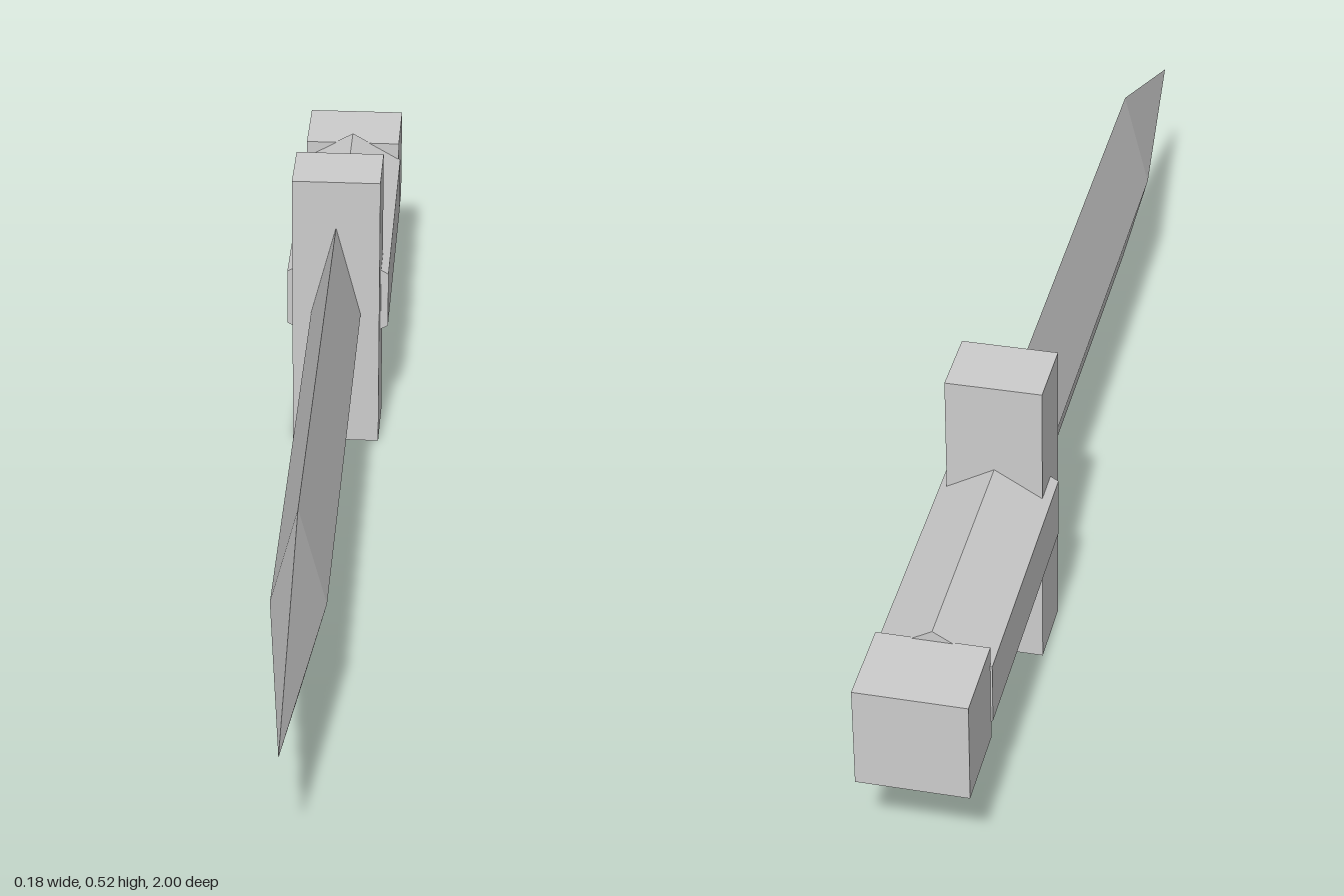
import * as THREE from 'three';

const CENTRE_Y = 0.26;

export function createModel() {
  const model = new THREE.Group();
  model.name = 'dagger';
  const grey = new THREE.MeshStandardMaterial({ name: 'steelGrey', color: 0xcccccc, flatShading: true });

  const add = (name, geometry) => {
    const mesh = new THREE.Mesh(geometry, grey);
    mesh.name = name;
    model.add(mesh);
  };

  // Block centred on the dagger's axis, between two z positions
  const block = (halfX, halfY, zBack, zFront) =>
    new THREE.BoxGeometry(halfX * 2, halfY * 2, zFront - zBack)
      .translate(0, CENTRE_Y, (zBack + zFront) / 2);

  // Prism or pyramid along z, with corners at top and bottom
  const prism = (sides, rx, ry, zBack, zFront, pointed = false, open = false) =>
    new THREE.CylinderGeometry(pointed ? 0 : 1, 1, zFront - zBack, sides, 1, open)
      .rotateX(Math.PI / 2)
      .scale(rx, ry, 1)
      .translate(0, CENTRE_Y, (zBack + zFront) / 2);

  // Diamond-section blade and its tip
  add('blade', prism(4, 0.044, 0.17, -0.345, 0.595, false, true));
  add('bladeTip', prism(4, 0.044, 0.17, 0.595, 1, true, true));

  // Cross guard
  add('guard', block(0.077, 0.2585, -0.457, -0.34));

  // Hexagonal grip, overlapping the guard
  add('grip', prism(6, 0.104, 0.104, -0.863, -0.397));

  // Pommel
  add('pommel', block(0.087, 0.086, -1, -0.86));

  return model;
}
